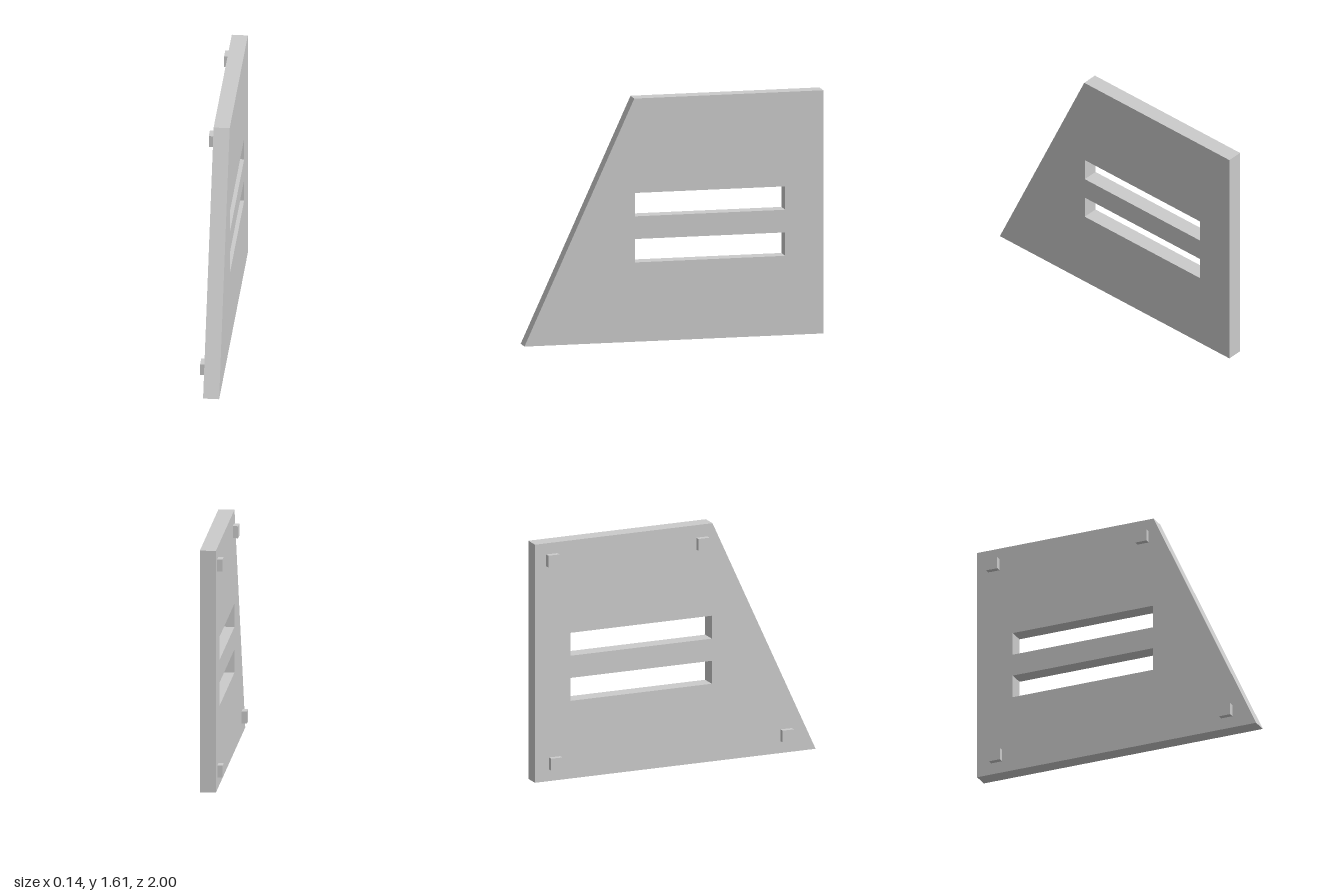
import * as THREE from 'three';

const material = new THREE.MeshStandardMaterial({ color: 0xcccccc, flatShading: true });

const FACE = 0.07;    // plain outer face
const INNER = -0.035; // face carrying the pegs
const PEG_END = -0.07;

function rectangle(z0, z1, y0, y1) {
  return new THREE.Path([[z0, y0], [z0, y1], [z1, y1], [z1, y0]].map(p => new THREE.Vector2(...p)));
}

export function createModel() {
  const model = new THREE.Group();
  model.name = 'slottedPanel';

  // Panel with a sloping front edge and two horizontal slots, drawn as (z, y)
  const outline = new THREE.Shape(
    [[-1, 0], [1, 0], [0.265, 1.61], [-1, 1.61]].map(p => new THREE.Vector2(...p)));
  for (const y of [0.525, 0.83]) outline.holes.push(rectangle(-0.745, 0.26, y, y + 0.155));

  const panelGeometry = new THREE.ExtrudeGeometry(outline, { depth: FACE - INNER, bevelEnabled: false });
  panelGeometry.rotateY(-Math.PI / 2).translate(FACE, 0, 0);
  const panel = new THREE.Mesh(panelGeometry, material);
  panel.name = 'panel';
  model.add(panel);

  // Four small locating pegs, placed by centre (y, z)
  const pegGeometry = new THREE.BoxGeometry(INNER - PEG_END, 0.08, 0.08);
  const pegs = {
    pegUpperBack: [1.495, -0.88],
    pegUpperFront: [1.485, 0.19],
    pegLowerBack: [0.12, -0.86],
    pegLowerFront: [0.12, 0.79],
  };
  for (const [name, [y, z]] of Object.entries(pegs)) {
    const peg = new THREE.Mesh(pegGeometry, material);
    peg.name = name;
    peg.position.set((INNER + PEG_END) / 2, y, z);
    model.add(peg);
  }

  return model;
}
